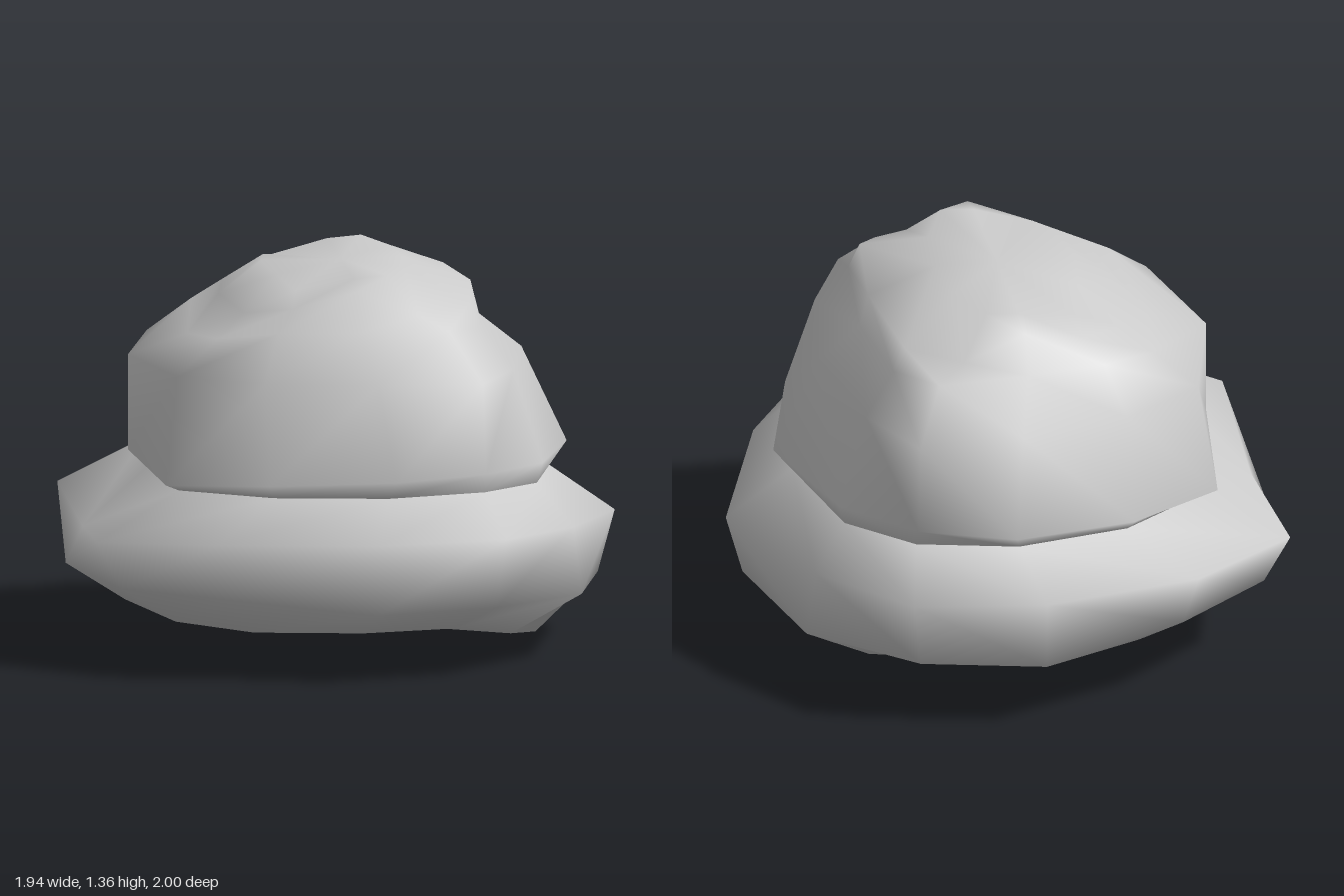
import * as THREE from 'three';
import { mergeVertices } from 'three/addons/utils/BufferGeometryUtils.js';

const HALF = 6; // steps from the right end round to the left end

// Skin a stack of twelve-sided rings, bottom to top, mirrored front to back.
// Each ring lists half its outline, from right end to left end.
function loft(rings) {
  const pos = [], index = [], sides = HALF * 2;
  for (const { x, y, z } of rings) {
    for (let j = 0; j < sides; j++) {
      const k = j <= HALF ? j : sides - j;
      pos.push(x[k], y[k], j <= HALF ? z[k] : -z[k]);
    }
  }
  for (let i = 0; i < rings.length - 1; i++) {
    for (let j = 0; j < sides; j++) {
      const a = i * sides + j, b = i * sides + ((j + 1) % sides);
      const c = a + sides, d = b + sides;
      // Mirror the diagonals so front and back match
      if (j < HALF) index.push(a, c, b, b, c, d);
      else index.push(a, c, d, a, d, b);
    }
  }
  let geo = new THREE.BufferGeometry();
  geo.setAttribute('position', new THREE.Float32BufferAttribute(pos, 3));
  geo.setIndex(index);
  geo = mergeVertices(geo);
  geo.computeVertexNormals();
  return geo;
}

const ring = (y, x, z) => ({ x, y, z });

// Heights easing from the right end to the middle to the left end
const ease = (right, middle, left) => Array.from({ length: HALF + 1 }, (_, k) => {
  const c = Math.cos((k / HALF) * Math.PI);
  return middle + ((k < HALF / 2 ? right : left) - middle) * c ** 6;
});

// Closing point at the middle of an end
const flat = (v) => Array(HALF + 1).fill(v);
const tip = (y) => ring(flat(y), flat(0), flat(0));

export function createModel() {
  const group = new THREE.Group();
  const material = new THREE.MeshStandardMaterial({ color: 0xcccccc, side: THREE.DoubleSide });
  const add = (name, rings) => {
    const mesh = new THREE.Mesh(loft(rings), material);
    mesh.name = name;
    group.add(mesh);
  };

  const waist = ring(ease(0.6, 0.63, 0.62),
    [0.73, 0.64, 0.43, 0.08, -0.32, -0.63, -0.68], [0, 0.47, 0.7, 0.79, 0.73, 0.52, 0]);

  // Thick rolled brim with a closed, tilted underside
  add('brim', [
    tip(0.05),
    ring(ease(0, 0.135, 0.145),
      [0.69, 0.55, 0.33, 0, -0.38, -0.63, -0.76], [0, 0.45, 0.63, 0.7, 0.64, 0.42, 0]),
    ring([0.21, 0.23, 0.25, 0.25, 0.29, 0.29, 0.28],
      [0.91, 0.79, 0.45, 0.02, -0.5, -0.84, -0.97], [0, 0.54, 0.88, 0.99, 0.83, 0.58, 0]),
    ring(ease(0.43, 0.5, 0.41),
      [0.97, 0.76, 0.48, 0.02, -0.54, -0.93, -0.91], [0, 0.55, 0.92, 1, 0.91, 0.6, 0]),
    waist,
  ]);

  // Slouched crown, rising in shoulders to a long pinched top
  add('crown', [
    waist,
    ring([0.68, 0.69, 0.7, 0.7, 0.68, 0.65, 0.68],
      [0.8, 0.66, 0.43, 0.1, -0.34, -0.68, -0.75], [0, 0.48, 0.74, 0.87, 0.78, 0.55, 0]),
    ring(flat(1.02),
      [0.64, 0.56, 0.42, 0.05, -0.34, -0.63, -0.75], [0, 0.45, 0.73, 0.72, 0.64, 0.46, 0]),
    ring(ease(1.14, 1.18, 1.09),
      [0.49, 0.45, 0.32, 0, -0.28, -0.48, -0.54], [0, 0.4, 0.57, 0.56, 0.53, 0.4, 0]),
    ring([1.26, 1.25, 1.23, 1.32, 1.25, 1.22, 1.23],
      [0.46, 0.41, 0.22, 0, -0.22, -0.38, -0.43], [0, 0.4, 0.51, 0.51, 0.45, 0.33, 0]),
    ring([1.35, 1.35, 1.355, 1.345, 1.3, 1.33, 1.345],
      [0.22, 0.2, 0.12, 0, -0.2, -0.25, -0.28], [0, 0.22, 0.4, 0.4, 0.36, 0.2, 0]),
    tip(1.345),
  ]);

  return group;
}
